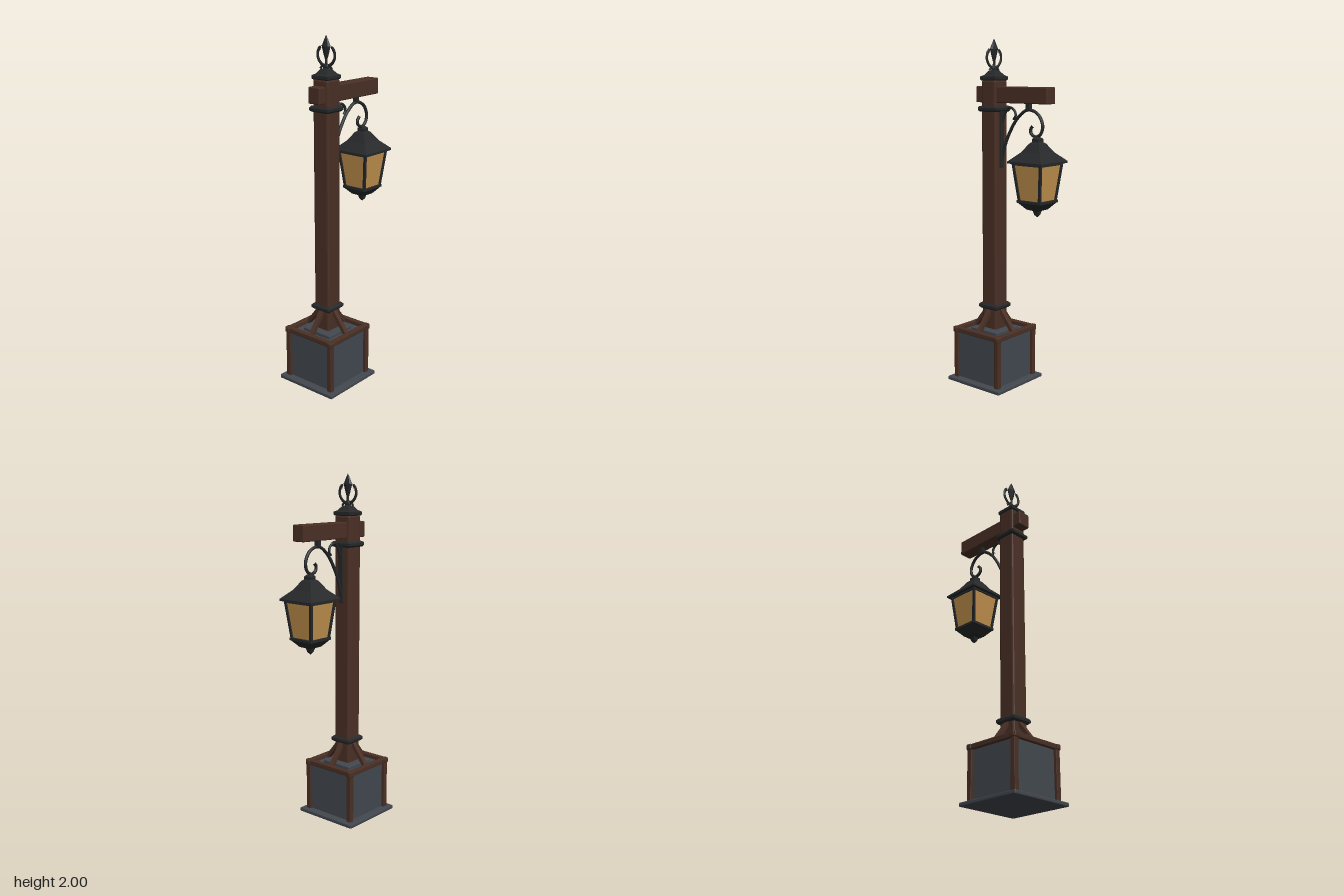
import * as THREE from 'three';
import { RoundedBoxGeometry } from 'three/addons/geometries/RoundedBoxGeometry.js';

const mat = (name, color) => {
  const m = new THREE.MeshStandardMaterial({ color });
  m.name = name;
  return m;
};

// faceted copy of a geometry
function flat(geo) {
  const g = geo.index ? geo.toNonIndexed() : geo;
  g.computeVertexNormals();
  return g;
}

// chamfered box
const block = (w, h, d, r = 0.005) => flat(new RoundedBoxGeometry(w, h, d, 1, r));

// four-sided solid from [halfWidth, y] points, bottom to top
function squareLathe(points) {
  const pts = points.map(([x, y]) => new THREE.Vector2(x * Math.SQRT2, y));
  return flat(new THREE.LatheGeometry(pts, 4).rotateY(Math.PI / 4));
}

// bent iron rod through [x, y, z] points
function rod(points, radius, segments = 32) {
  const curve = new THREE.CatmullRomCurve3(points.map(p => new THREE.Vector3(...p)));
  return new THREE.TubeGeometry(curve, segments, radius, 8);
}

function add(parent, name, geo, material, x = 0, y = 0, z = 0) {
  const m = new THREE.Mesh(geo, material);
  m.name = name;
  m.position.set(x, y, z);
  parent.add(m);
  return m;
}

// straight bar between two points
function bar(parent, name, a, b, w, d, material) {
  const A = new THREE.Vector3(...a), B = new THREE.Vector3(...b);
  const m = add(parent, name, new THREE.BoxGeometry(w, A.distanceTo(B), d), material);
  m.position.copy(A).lerp(B, 0.5);
  m.quaternion.setFromUnitVectors(new THREE.Vector3(0, 1, 0), B.sub(A).normalize());
  return m;
}

export function createModel() {
  const wood = mat('dark wood', 0x4a3025);
  const stone = mat('slate stone', 0x42484f);
  const iron = mat('black iron', 0x262829);
  const glass = mat('amber glass', 0xc4934f);

  const model = new THREE.Group();
  model.name = 'lampPost';

  // everything on the post axis
  const stand = new THREE.Group();
  stand.name = 'stand';
  stand.position.z = 0.115;
  model.add(stand);

  // stone base
  add(stand, 'basePlate', block(0.4, 0.022, 0.4), stone, 0, 0.011);
  add(stand, 'baseBlock', new THREE.BoxGeometry(0.31, 0.285, 0.31), stone, 0, 0.1625);
  add(stand, 'baseStep', block(0.2, 0.04, 0.2), stone, 0, 0.305);

  // timber frame round the base
  for (const s of [-1, 1]) {
    for (const t of [-1, 1])
      add(stand, 'cornerPost', block(0.03, 0.285, 0.03, 0.003), wood, s * 0.157, 0.163, t * 0.157);
    add(stand, 'crossRail', block(0.358, 0.03, 0.03), wood, 0, 0.315, s * 0.158);
    add(stand, 'sideRail', block(0.03, 0.03, 0.358), wood, s * 0.158, 0.3145, 0);
  }

  // diagonal braces
  for (let i = 0; i < 4; i++) {
    const side = new THREE.Group();
    side.name = 'braceSide';
    side.rotation.y = i * Math.PI / 2;
    stand.add(side);
    bar(side, 'brace', [0.15, 0.305, 0], [0.04, 0.445, 0], 0.022, 0.027, wood);
  }

  // post, collars and cap
  add(stand, 'post', block(0.104, 1.46, 0.104, 0.01), wood, 0, 1.04);
  for (const y of [0.458, 1.61]) {
    const h = 0.016;
    add(stand, 'collar', squareLathe([[0, y - h], [0.058, y - h], [0.066, y - 0.007],
      [0.066, y + 0.007], [0.058, y + h], [0, y + h]]), iron);
  }
  add(stand, 'cap', squareLathe([[0, 1.768], [0.052, 1.768], [0.056, 1.774], [0.056, 1.79],
    [0.04, 1.798], [0.022, 1.822], [0, 1.828]]), iron);

  // spear finial with two curled leaves
  const finial = new THREE.Group();
  finial.name = 'finial';
  finial.scale.z = 0.55;
  stand.add(finial);
  const spear = [[0, 1.815], [0.02, 1.822], [0.022, 1.836], [0.01, 1.85], [0.009, 1.875], [0.018, 1.9],
    [0.03, 1.942], [0.014, 1.975], [0, 2]].map(p => new THREE.Vector2(...p));
  add(finial, 'spear', flat(new THREE.LatheGeometry(spear, 8)), iron);
  for (const s of [-1, 1]) {
    add(finial, 'leaf', rod([[0, 1.835, 0], [s * 0.035, 1.848, 0], [s * 0.059, 1.882, 0],
      [s * 0.056, 1.917, 0], [s * 0.04, 1.938, 0]], 0.009), iron);
    add(finial, 'leafTip', new THREE.ConeGeometry(0.011, 0.03, 6), iron, s * 0.042, 1.934, 0)
      .rotation.z = s * 0.7;
    add(finial, 'foot', rod([[0, 1.845, 0], [s * 0.025, 1.838, 0], [s * 0.042, 1.822, 0]], 0.007, 10), iron);
  }

  // horizontal beam
  add(model, 'beam', block(0.078, 0.09, 0.508), wood, 0, 1.69, -0.036);

  // scrolled iron bracket
  add(model, 'bracketPlate', block(0.03, 0.34, 0.014, 0.003), iron, 0, 1.45, 0.059);
  add(model, 'bracketArm', rod([[0, 1.33, 0.058], [0, 1.4, 0.036], [0, 1.474, 0.003], [0, 1.565, -0.06],
    [0, 1.61, -0.13], [0, 1.59, -0.2], [0, 1.53, -0.234], [0, 1.484, -0.222], [0, 1.465, -0.188],
    [0, 1.482, -0.154], [0, 1.508, -0.152], [0, 1.525, -0.168]], 0.009, 64), iron);
  add(model, 'bracketScroll', rod([[0, 1.537, 0.055], [0, 1.592, 0.03], [0, 1.62, 0],
    [0, 1.605, -0.034], [0, 1.574, -0.043], [0, 1.555, -0.028]], 0.007), iron);
  add(model, 'bracketStud', new THREE.BoxGeometry(0.024, 0.04, 0.024), iron, 0, 1.63, -0.137);

  // lantern
  const lantern = new THREE.Group();
  lantern.name = 'lantern';
  lantern.position.z = -0.2;
  model.add(lantern);
  add(lantern, 'lanternRoof', squareLathe([[0, 1.322], [0.118, 1.322], [0.118, 1.333], [0.065, 1.382],
    [0.033, 1.43], [0.022, 1.438], [0.022, 1.455], [0, 1.475]]), iron);
  add(lantern, 'lanternGlass', squareLathe([[0.068, 1.112], [0.093, 1.325]]), glass);
  add(lantern, 'lanternBottom', squareLathe([[0, 1.02], [0.012, 1.034], [0.018, 1.056], [0.042, 1.064],
    [0.074, 1.1], [0.081, 1.104], [0.081, 1.118], [0, 1.118]]), iron);
  for (let i = 0; i < 4; i++) {
    const side = new THREE.Group();
    side.name = 'lanternSide';
    side.rotation.y = i * Math.PI / 2;
    lantern.add(side);
    bar(side, 'cornerBar', [0.07, 1.112, 0.07], [0.095, 1.326, 0.095], 0.014, 0.014, iron);
    add(side, 'topBar', new THREE.BoxGeometry(0.19, 0.012, 0.01), iron, 0, 1.318, 0.094);
  }
  return model;
}
